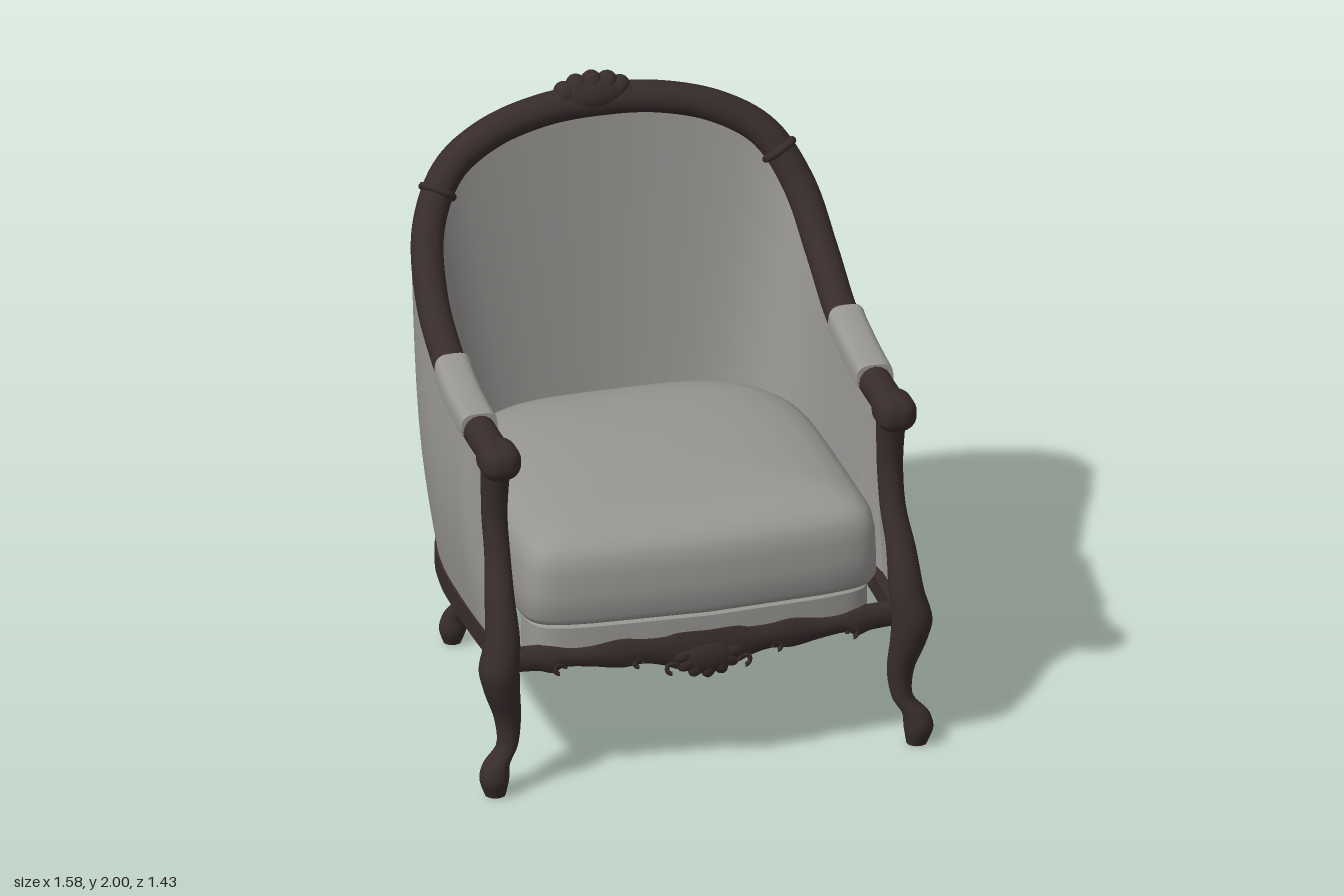
import * as THREE from 'three';
import { toCreasedNormals } from 'three/addons/utils/BufferGeometryUtils.js';
import { RoundedBoxGeometry } from 'three/addons/geometries/RoundedBoxGeometry.js';

const wood = new THREE.MeshStandardMaterial({ color: 0x382c2c });
wood.name = 'dark wood';
const fabric = new THREE.MeshStandardMaterial({ color: 0x989693, side: THREE.DoubleSide });
fabric.name = 'grey fabric';

const V = (x, y, z) => new THREE.Vector3(x, y, z);
const spow = (v, e) => Math.sign(v) * Math.abs(v) ** e;
const curve = (pts) => new THREE.CatmullRomCurve3(pts);

// Skin a list of cross-section rings
function loft(rings, closed = true, crease = 0) {
  const n = rings[0].length, pos = [], idx = [];
  rings.forEach((r) => r.forEach((p) => pos.push(p.x, p.y, p.z)));
  for (let i = 0; i < rings.length - 1; i++) {
    for (let j = 0; j < (closed ? n : n - 1); j++) {
      const a = i * n + j, d = i * n + (j + 1) % n;
      idx.push(a, a + n, d, d, a + n, d + n);
    }
  }
  const g = new THREE.BufferGeometry();
  g.setAttribute('position', new THREE.Float32BufferAttribute(pos, 3));
  g.setIndex(idx);
  g.computeVertexNormals();
  return crease ? toCreasedNormals(g, crease) : g;
}

// Collapse a ring to its middle, for end caps
function capRing(ring) {
  const c = ring.reduce((s, p) => s.add(p), V(0, 0, 0)).divideScalar(ring.length);
  return ring.map(() => c.clone());
}
const capped = (rings) => [capRing(rings[0]), ...rings, capRing(rings[rings.length - 1])];

// Upright turned limb through [x, y, z, radius] stations, bottom to top
function limb(stations, side) {
  const path = curve(stations.map(([x, y, z]) => V(x * side, y, z)));
  const radii = curve(stations.map(([, y, , r]) => V(r, y, 0)));
  const rings = [];
  for (let i = 0; i <= 60; i++) {
    const c = path.getPoint(i / 60), r = radii.getPoint(i / 60).x;
    rings.push(Array.from({ length: 20 }, (_, j) => {
      const a = j / 20 * Math.PI * 2;
      return V(c.x + r * Math.cos(a), c.y, c.z + r * Math.sin(a));
    }));
  }
  return loft(capped(rings), true, 0.9);
}

// U-shaped plan: base x, base z, then frame x, y, z, from the front to the middle of the back
const half = [
  [0.70, 0.60, 0.69, 1.18, 0.53], [0.71, 0.35, 0.69, 1.185, 0.30], [0.71, 0.10, 0.69, 1.21, 0.10],
  [0.70, -0.10, 0.685, 1.27, -0.09], [0.66, -0.30, 0.68, 1.40, -0.30], [0.57, -0.46, 0.645, 1.58, -0.46],
  [0.45, -0.57, 0.55, 1.74, -0.55], [0.32, -0.63, 0.40, 1.83, -0.60], [0.16, -0.66, 0.20, 1.88, -0.63],
  [0, -0.67, 0, 1.89, -0.64],
];
const rows = [...half, ...half.slice(0, -1).reverse().map(([a, b, c, d, e]) => [-a, b, -c, d, e])];
const baseCurve = curve(rows.map((r) => V(r[0], 0.5, r[1])));
const frameCurve = curve(rows.map((r) => V(r[2], r[3], r[4])));
function outward(t) {
  const d = baseCurve.getTangent(t);
  return V(-d.z, 0, d.x).normalize();
}

// Upholstered wall: up the outside, over the top, down the inside to the cushion.
// It thins towards the front and its front edge follows the curved post.
function wallRing(t) {
  const n = outward(t), b = baseCurve.getPoint(t), top = frameCurve.getPoint(t);
  const front = Math.max(0, 1 - 18 * Math.min(t, 1 - t)), side = Math.abs(n.x), back = Math.abs(n.z);
  const at = (v, y, low, high, bulge) => {
    const p = b.clone().setY(y).addScaledVector(n, low).lerp(top.clone().addScaledVector(n, high), v);
    p.addScaledVector(n, bulge * side * (1 - front) * Math.sin(Math.PI * v));
    p.z -= 0.075 * front * Math.sin(Math.PI * Math.min(1, Math.max(0, (p.y - 0.5) / 0.75)));
    return p;
  };
  const ring = [];
  for (let k = 0; k <= 10; k++) ring.push(at(k / 10, 0.5, 0, (0.04 + 0.03 * back) * (1 - 0.7 * front), 0.03));
  for (let k = 10; k >= 0; k--) ring.push(at(k / 10, 0.6, -0.1 - 0.04 * back + 0.045 * front, -0.03, 0));
  return ring;
}

// Seat plan: square at the front with a slight bow, narrower and rounded at the back
function seatRing(y, s) {
  return Array.from({ length: 120 }, (_, j) => {
    const a = j / 120 * Math.PI * 2, c = Math.cos(a), q = Math.sin(a), e = q > 0 ? 0.15 : 0.55;
    const x = 0.62 * spow(c, e), z = 0.6 * spow(q, e);
    const bow = q > 0 ? 0.05 * (1 - (x / 0.62) ** 2) * Math.min(1, z / 0.5) : 0;
    return V(x * s * (1 + 0.05 * Math.min(0, q)), y, 0.05 + (z + bow) * s);
  });
}

// Carved shell: flutes fanned around a domed heart
function carvedShell(rx, ry, depth) {
  const g = new THREE.Group();
  const lobe = (x, y, sx, sy, sz, rot) => {
    const m = new THREE.Mesh(new THREE.SphereGeometry(1, 16, 12), wood);
    m.position.set(x, y, 0);
    m.scale.set(sx, sy, sz);
    m.rotation.z = rot;
    m.name = 'shellFlute';
    g.add(m);
  };
  lobe(0, ry * 0.25, rx * 0.85, ry * 0.6, depth, 0);
  for (let i = -3; i <= 3; i++) {
    const a = i * 0.45;
    lobe(rx * 0.7 * Math.sin(a), ry * 0.6 * Math.cos(a), rx * 0.23, ry * 0.42, depth * 0.8, -a);
  }
  return g;
}

// Front apron: wavy board with a rounded face, bent to the bow of the seat
const bowZ = (x) => 0.05 * (1 - (x / 0.66) ** 2);
function apronGeometry() {
  const edge = (pts) => new THREE.SplineCurve([
    ...pts.map(([x, y]) => [-x, y]), ...pts.slice(0, -1).reverse(),
  ].map(([x, y]) => new THREE.Vector2(x, y))).getPoints(120);
  const low = edge([[0.66, 0.43], [0.58, 0.43], [0.53, 0.418], [0.49, 0.438], [0.4, 0.432], [0.3, 0.418],
    [0.22, 0.425], [0.15, 0.41], [0.1, 0.39], [0, 0.38]]);
  const high = edge([[0.66, 0.505], [0.58, 0.508], [0.53, 0.51], [0.47, 0.502], [0.4, 0.505], [0.3, 0.52],
    [0.22, 0.512], [0.15, 0.512], [0.1, 0.522], [0, 0.522]]);
  return loft(capped(low.map((p, i) => {
    const q = high[i], z = 0.59 + bowZ(p.x);
    return [[0, 0], [0.04, 0], [0.055, 0.25], [0.055, 0.75], [0.04, 1], [0, 1]]
      .map(([d, v]) => V(THREE.MathUtils.lerp(p.x, q.x, v), THREE.MathUtils.lerp(p.y, q.y, v), z + d));
  })), true, 0.9);
}

export function createModel() {
  const chair = new THREE.Group();
  chair.name = 'armchair';
  const add = (name, geometry, material) => {
    const m = new THREE.Mesh(geometry, material);
    m.name = name;
    chair.add(m);
    return m;
  };
  const steps = Array.from({ length: 109 }, (_, i) => i / 108);

  // Upholstery
  const wall = steps.map(wallRing);
  const flat = (r) => r.map((p, k) => p.clone().lerp(r[r.length - 1 - k], 0.5));
  add('wrapAroundBack', loft([flat(wall[0]), ...wall, flat(wall[108])], false, 0.9), fabric);
  add('frontBorder', loft([[0.47, 0.965], [0.575, 0.965], [0.59, 0.93]]
    .map(([y, s]) => seatRing(y, s).slice(3, 58)), false, 0.7), fabric);
  add('seatCushion', loft([[0.59, 0], [0.585, 0.95], [0.595, 0.985], [0.62, 1.005], [0.7, 1.005], [0.78, 1],
    [0.83, 0.985], [0.86, 0.955], [0.885, 0.9], [0.908, 0.8], [0.926, 0.62], [0.937, 0.36], [0.94, 0]]
    .map(([y, s]) => seatRing(y, s)), true, 0.8), fabric);

  // Wooden frame and seat rail
  add('topFrame', new THREE.TubeGeometry(frameCurve, 160, 0.056, 16), wood);
  add('seatRail', loft(steps.map((t) => {
    const n = outward(t), b = baseCurve.getPoint(t);
    return [[0.008, 0.43], [0.008, 0.505], [-0.045, 0.505], [-0.045, 0.43]]
      .map(([o, y]) => b.clone().addScaledVector(n, o).setY(y));
  }), true, 0.6), wood);
  add('frontApron', apronGeometry(), wood);

  // Carved ornaments
  const crest = carvedShell(0.165, 0.105, 0.05);
  crest.name = 'crestCarving';
  crest.position.set(-0.025, 1.895, -0.625);
  crest.rotation.x = -0.2;
  const medallion = carvedShell(0.125, 0.105, 0.03);
  medallion.name = 'apronCarving';
  medallion.position.set(0, 0.455, 0.678);
  medallion.rotation.z = Math.PI;
  chair.add(crest, medallion);

  for (const s of [1, -1]) {
    const along = (row) => (s > 0 ? row / 18 : 1 - row / 18);

    // Legs, the front ones rising into arm posts
    add('frontLegAndPost', limb([[0.735, 0, 0.655, 0.035], [0.74, 0.06, 0.66, 0.05], [0.732, 0.11, 0.655, 0.046],
      [0.69, 0.17, 0.64, 0.037], [0.685, 0.26, 0.63, 0.045], [0.71, 0.38, 0.645, 0.062], [0.72, 0.46, 0.65, 0.069],
      [0.705, 0.56, 0.635, 0.06], [0.70, 0.70, 0.585, 0.05], [0.69, 0.82, 0.525, 0.044], [0.69, 0.95, 0.49, 0.044],
      [0.69, 1.08, 0.495, 0.048], [0.69, 1.17, 0.51, 0.054]], s), wood);
    add('backLeg', limb([[0.54, 0, -0.535, 0.03], [0.54, 0.05, -0.53, 0.046], [0.535, 0.10, -0.525, 0.041],
      [0.508, 0.17, -0.495, 0.034], [0.51, 0.26, -0.49, 0.043], [0.53, 0.36, -0.505, 0.06],
      [0.535, 0.44, -0.515, 0.062], [0.535, 0.51, -0.52, 0.055]], s), wood);

    // Rounded arm end
    const knob = add('armKnob', new RoundedBoxGeometry(0.138, 0.125, 0.16, 5, 0.055), wood);
    knob.position.set(0.69 * s, 1.183, 0.54);

    // Collar around the frame
    const t = along(5.6);
    const collar = add('frameCollar', new THREE.TorusGeometry(0.054, 0.014, 8, 28), wood);
    collar.position.copy(frameCurve.getPoint(t));
    collar.quaternion.setFromUnitVectors(V(0, 0, 1), frameCurve.getTangent(t));

    // Padded armrest with a flared rear end
    const pad = [];
    for (let i = 0; i <= 16; i++) {
      const c = frameCurve.getPoint(along(0.95 + 1.7 * i / 16));
      const k = i === 0 ? 0.9 : i === 16 ? 1.1 : 1;
      pad.push(Array.from({ length: 28 }, (_, j) => {
        const a = j / 28 * Math.PI * 2;
        return V(c.x + 0.064 * spow(Math.cos(a), 0.6), c.y + 0.005 + 0.064 * k * spow(Math.max(Math.sin(a), -0.1), 0.6), c.z);
      }));
    }
    add('armPad', loft(capped(pad), true, 0.8), fabric);

    // Scroll curls along the apron
    for (const [x, y, r] of [[0.51, 0.436, 0.018], [0.24, 0.434, 0.016], [0.125, 0.4, 0.02]]) {
      const curl = add('apronCurl', new THREE.TorusGeometry(r, 0.008, 8, 20, 4.6), wood);
      curl.position.set(x * s, y, 0.638 + bowZ(x));
      if (s > 0) curl.rotation.y = Math.PI;
    }
  }
  return chair;
}
